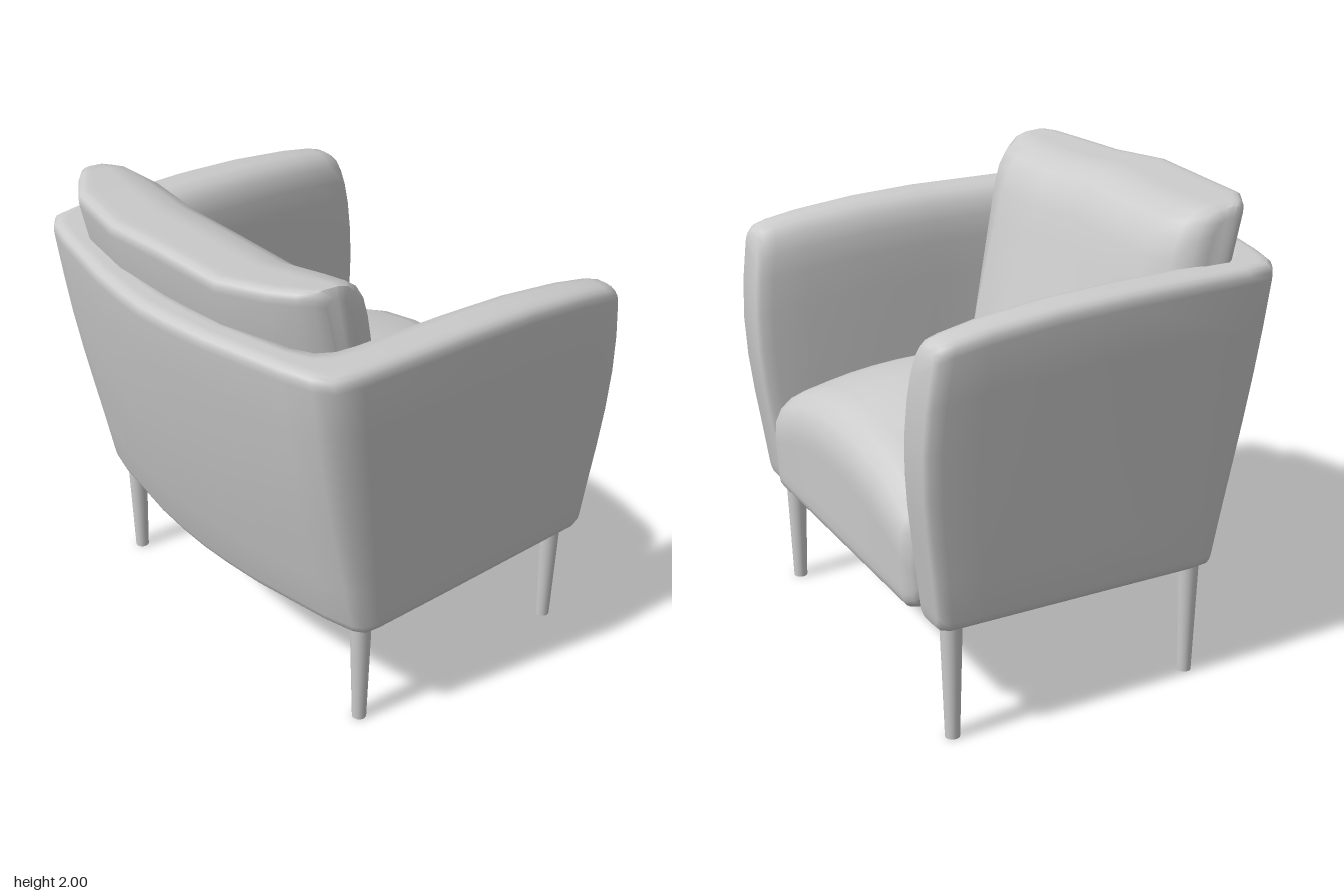
import * as THREE from 'three';
import { toCreasedNormals } from 'three/addons/utils/BufferGeometryUtils.js';

const V = (x, y, z) => new THREE.Vector3(x, y, z);
const { clamp } = THREE.MathUtils;
const material = new THREE.MeshStandardMaterial({ color: 0xcccccc });

// Closed ring through a polygon with rounded corners and subdivided edges
function roundedRing(corners, radii, arc = 4, edge = 6) {
  const n = corners.length, pts = [];
  const toward = (a, b, r) => a.clone().lerp(b, Math.min(0.45, r / Math.max(a.distanceTo(b), 1e-4)));
  for (let i = 0; i < n; i++) {
    const c = corners[i], prev = corners[(i + n - 1) % n], next = corners[(i + 1) % n];
    const end = toward(c, next, radii[i]);
    const curve = new THREE.QuadraticBezierCurve3(toward(c, prev, radii[i]), c, end);
    pts.push(...curve.getPoints(arc));
    const nextStart = toward(next, c, radii[(i + 1) % n]);
    for (let k = 1; k < edge; k++) pts.push(end.clone().lerp(nextStart, k / edge));
  }
  return pts;
}

// Skin a row of equal rings and close both ends with strips from side to side
function loft(name, rings) {
  const n = rings[0].length, last = (rings.length - 1) * n, pts = rings.flat(), index = [];
  for (let r = 0; r < last; r += n) {
    for (let i = 0; i < n; i++) {
      const a = r + i, b = r + (i + 1) % n;
      index.push(a, b, a + n, b, b + n, a + n);
    }
  }
  const wrap = (i) => (i + n) % n;
  for (let i = -3; i < n / 2 - 3; i++) {
    // each point is paired with the one facing it across the ring
    const a = wrap(i), b = wrap(i + 1), c = wrap(n - 7 - i), d = wrap(n - 6 - i);
    for (const [p, q, s] of [[a, b, c], [a, c, d]]) {
      if (p === q || q === s || s === p) continue;
      index.push(p, s, q, last + p, last + q, last + s);
    }
  }
  // turn all faces outward
  let volume = 0;
  for (let i = 0; i < index.length; i += 3) {
    volume += pts[index[i]].dot(pts[index[i + 1]].clone().cross(pts[index[i + 2]]));
  }
  if (volume < 0) index.reverse();
  const geometry = new THREE.BufferGeometry().setFromPoints(pts);
  geometry.setIndex(index);
  const mesh = new THREE.Mesh(toCreasedNormals(geometry, 1), material);
  mesh.name = name;
  return mesh;
}

// Complete a row of rings that starts on the centre plane
function mirrored(left) {
  const right = left.slice(1).reverse().map((r) => r.map((p) => V(p.x, p.y, -p.z)));
  return [...right, ...left];
}

// Wraparound shell: back and both arms as one U-shaped loft
function createShell() {
  // outer top x,z | outer bottom x,z | inner top x,z | inner bottom x,z | top y | bottom y
  const half = [
    [-0.875, 0, -0.6, 0, -0.66, 0, -0.36, 0, 1.765, 0.495],
    [-0.865, 0.15, -0.595, 0.15, -0.655, 0.14, -0.36, 0.14, 1.765, 0.495],
    [-0.84, 0.35, -0.58, 0.33, -0.64, 0.3, -0.35, 0.3, 1.765, 0.495],
    [-0.76, 0.72, -0.52, 0.7, -0.58, 0.57, -0.31, 0.58, 1.765, 0.495],
    [-0.72, 0.85, -0.485, 0.83, -0.53, 0.65, -0.28, 0.64, 1.765, 0.495],
    [-0.67, 0.92, -0.455, 0.87, -0.46, 0.68, -0.25, 0.67, 1.765, 0.495],
    [-0.55, 0.945, -0.39, 0.88, -0.38, 0.69, -0.22, 0.675, 1.765, 0.495],
    [0, 0.965, 0, 0.885, 0, 0.705, 0, 0.675, 1.76, 0.495],
    [0.3, 0.965, 0.3, 0.885, 0.3, 0.715, 0.3, 0.685, 1.745, 0.495],
    [0.58, 0.962, 0.58, 0.885, 0.58, 0.735, 0.58, 0.69, 1.715, 0.495],
    [0.72, 0.96, 0.72, 0.885, 0.72, 0.75, 0.72, 0.7, 1.69, 0.495],
    [0.77, 0.952, 0.757, 0.878, 0.77, 0.76, 0.757, 0.708, 1.675, 0.505],
    [0.792, 0.935, 0.775, 0.865, 0.792, 0.775, 0.775, 0.722, 1.655, 0.525],
  ];
  const ring = ([ox, oz, px, pz, ix, iz, jx, jz, top, bottom]) => {
    const corners = [V(px, bottom, pz), V(ox, top, oz), V(ix, top, iz), V(jx, bottom, jz)];
    const pts = roundedRing(corners, [0.05, 0.06, 0.22, 0.05]);
    pts.forEach((p) => {
      const t = clamp((p.y - 0.5) / 1.2, 0, 1);
      // bowed front edge of the arms and slightly swollen back
      p.x += 0.062 * Math.sin(Math.PI * t ** 1.3) * clamp((p.x - 0.4) / 0.35, 0, 1);
      p.x -= 0.02 * Math.sin(Math.PI * t) * clamp((-p.x - 0.45) / 0.2, 0, 1);
    });
    return pts;
  };
  return loft('shellWithArms', mirrored(half.map(ring)));
}

// Domed seat cushion
function createSeat() {
  // z, height factor, inset, rear x
  const half = [
    [0, 1, 0, -0.44], [0.18, 0.985, 0, -0.43], [0.38, 0.925, 0, -0.42], [0.56, 0.82, 0, -0.4],
    [0.645, 0.75, 0, -0.36], [0.695, 0.69, 0.02, -0.32], [0.715, 0.63, 0.06, -0.28],
  ];
  const ring = ([z, k, d, back]) => {
    const y = (h) => 0.52 + (h - 0.52) * k - d;
    const bottom = 0.515 + d;
    const corners = [
      V(0.815 - d, bottom, z), V(0.835 - d, y(1.07), z), V(0.4, y(1.19), z),
      V(back + d, y(1.2), z), V(back + d, bottom, z),
    ];
    return roundedRing(corners, [0.06, 0.16, 0.25, 0.05, 0.05]);
  };
  return loft('seatCushion', mirrored(half.map(ring)));
}

// Loose back cushion, set slightly off centre
function createBackCushion() {
  // z, rear top x, front top x, front bottom x, top y
  const stations = [
    [-0.82, -0.57, -0.44, -0.3, 1.95], [-0.8, -0.6, -0.39, -0.24, 1.985],
    [-0.74, -0.65, -0.34, -0.17, 1.99], [-0.6, -0.74, -0.31, -0.085, 1.98],
    [-0.3, -0.79, -0.34, -0.06, 1.97], [0, -0.79, -0.36, -0.07, 1.985],
    [0.33, -0.76, -0.34, -0.055, 1.965], [0.55, -0.69, -0.31, -0.06, 1.985],
    [0.66, -0.64, -0.32, -0.14, 2.0], [0.71, -0.6, -0.37, -0.22, 2.005],
    [0.735, -0.56, -0.43, -0.3, 1.97],
  ];
  const rings = stations.map(([z, back, front, lip, top]) => roundedRing(
    [V(back + 0.25, 0.9, z), V(lip, 0.95, z), V(front, top - 0.02, z), V(back, top, z)],
    [0.06, 0.06, 0.19, 0.06],
  ));
  return loft('backCushion', rings);
}

// Four slim tapered legs
function createLegs() {
  const legs = new THREE.Group();
  legs.name = 'legs';
  const geometry = new THREE.CylinderGeometry(0.046, 0.03, 0.54, 16);
  for (const x of [-0.4, 0.69]) {
    for (const z of [-0.805, 0.78]) {
      const leg = new THREE.Mesh(geometry, material);
      leg.name = x > 0 ? 'frontLeg' : 'backLeg';
      leg.position.set(x, 0.27, z);
      legs.add(leg);
    }
  }
  return legs;
}

export function createModel() {
  const armchair = new THREE.Group();
  armchair.name = 'armchair';
  armchair.add(createShell(), createSeat(), createBackCushion(), createLegs());
  return armchair;
}
